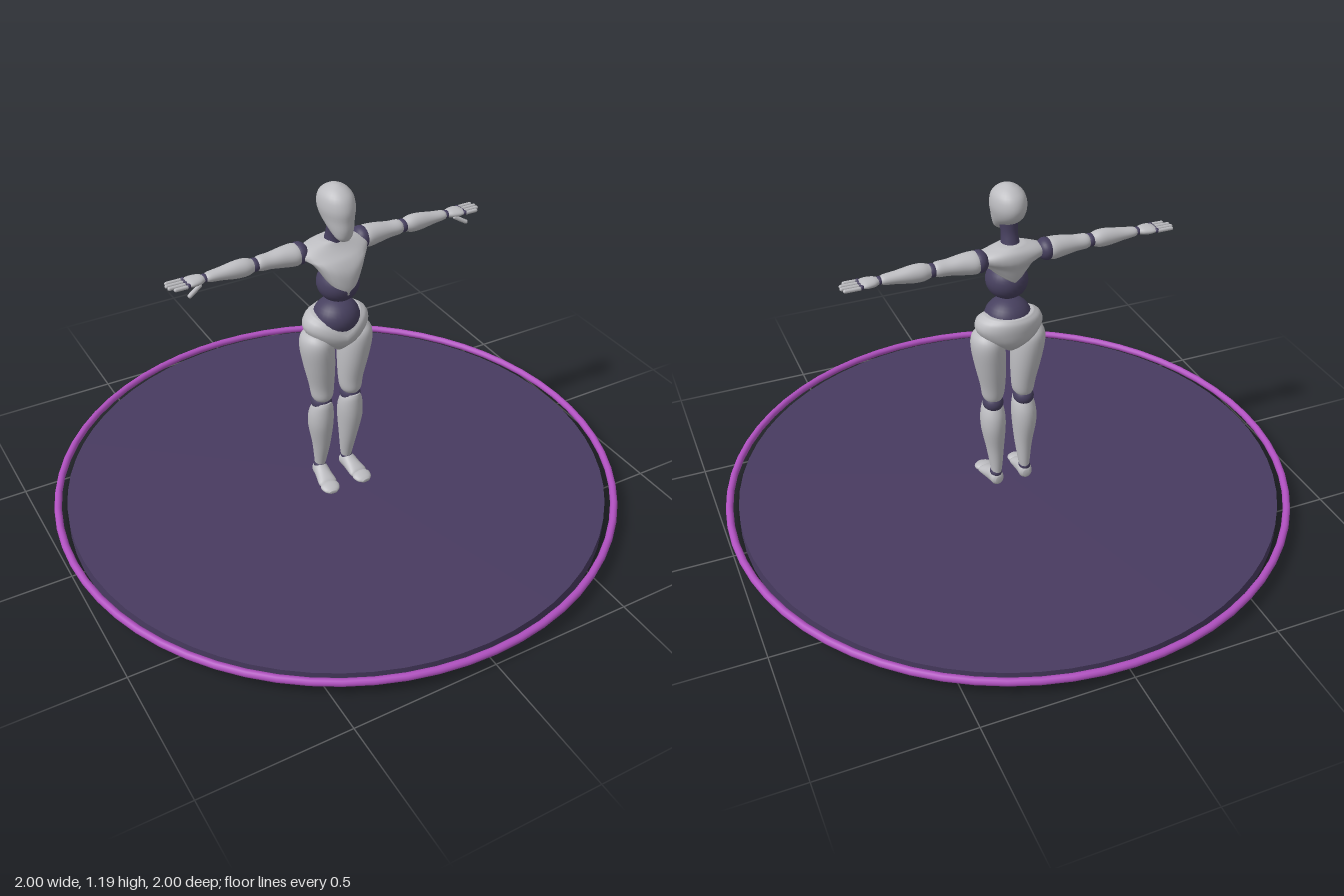
import * as THREE from 'three';

const mat = (name, color) => Object.assign(new THREE.MeshStandardMaterial({ color }), { name });

// Smooth closed body from elliptical sections [height, centreX, centreZ, radiusX, radiusZ]
function loft(sections, warp, rings = 24, sides = 28) {
  const first = sections[0], last = sections[sections.length - 1];
  const centres = new THREE.CatmullRomCurve3(sections.map(s => new THREE.Vector3(s[1], s[0], s[2])), false, 'catmullrom', 0.5);
  const radii = new THREE.CatmullRomCurve3(sections.map(s => new THREE.Vector3(s[3], s[4], 0)), false, 'catmullrom', 0.5);
  const pos = [], index = [];
  const addRing = (c, rx, rz) => {
    for (let j = 0; j < sides; j++) {
      const a = j / sides * Math.PI * 2;
      const v = new THREE.Vector3(c.x + rx * Math.cos(a), c.y, c.z + rz * Math.sin(a));
      if (warp) warp(v);
      pos.push(v.x, v.y, v.z);
    }
  };
  addRing(centres.getPoint(0), first[3] * 0.01, first[4] * 0.01);
  for (let i = 0; i <= rings; i++) {
    const r = radii.getPoint(i / rings);
    addRing(centres.getPoint(i / rings), r.x, r.y);
  }
  addRing(centres.getPoint(1), last[3] * 0.01, last[4] * 0.01);
  for (let i = 0; i < rings + 2; i++) {
    for (let j = 0; j < sides; j++) {
      const k = (j + 1) % sides, a = i * sides, b = a + sides;
      index.push(a + j, b + j, a + k, b + j, b + k, a + k);
    }
  }
  const g = new THREE.BufferGeometry();
  g.setAttribute('position', new THREE.Float32BufferAttribute(pos, 3));
  g.setIndex(index);
  g.computeVertexNormals();
  return g;
}

export function createModel() {
  const model = new THREE.Group();
  const shell = mat('light grey shell', 0xbdbdc1);
  const joint = mat('dark joint', 0x47405f);
  const floor = mat('deep violet base', 0x483b60);
  const glow = mat('purple ring', 0xb050c0);

  const add = (parent, name, geometry, material) => {
    const mesh = new THREE.Mesh(geometry, material);
    mesh.name = name;
    parent.add(mesh);
    return mesh;
  };
  const ball = (parent, name, material, x, y, z, rx, ry = rx, rz = rx) => {
    const m = add(parent, name, new THREE.SphereGeometry(1, 28, 18), material);
    m.position.set(x, y, z);
    m.scale.set(rx, ry, rz);
    return m;
  };

  // Platform and the ring around it
  add(model, 'platform', new THREE.CylinderGeometry(0.955, 0.955, 0.05, 64), floor).position.y = 0.025;
  const ring = add(model, 'platformRing', new THREE.TorusGeometry(0.987, 0.013, 12, 64), glow);
  ring.rotation.x = Math.PI / 2;
  ring.position.y = 0.047;

  // Head and neck
  add(model, 'head', loft([
    [1.022, 0, 0.055, 0.018, 0.014], [1.035, 0, 0.047, 0.03, 0.028], [1.06, 0, 0.028, 0.041, 0.052],
    [1.09, 0, 0.007, 0.05, 0.073], [1.125, 0, 0, 0.057, 0.08], [1.16, 0, -0.002, 0.052, 0.068],
    [1.182, 0, -0.002, 0.034, 0.042], [1.194, 0, -0.002, 0.01, 0.013],
  ]), shell);
  add(model, 'neck', loft([
    [0.98, 0, -0.02, 0.035, 0.035], [1.01, 0, -0.015, 0.029, 0.03], [1.04, 0, -0.008, 0.028, 0.029], [1.08, 0, 0, 0.034, 0.034],
  ]), joint);

  // Chest shell, dipping to a point in front and rising at the flanks
  add(model, 'chest', loft([
    [0.868, 0, 0.012, 0.066, 0.072], [0.89, 0, 0.009, 0.08, 0.078], [0.92, 0, 0.002, 0.096, 0.08],
    [0.945, 0, -0.012, 0.115, 0.075], [0.967, 0, -0.025, 0.124, 0.062], [0.985, 0, -0.03, 0.092, 0.05],
    [1.0, 0, -0.026, 0.04, 0.036],
  ], v => {
    const f = THREE.MathUtils.clamp((0.95 - v.y) / 0.08, 0, 1);
    v.y += f * (0.04 * Math.abs(v.x) / 0.07 - 0.035 * Math.max(0, v.z) / 0.08);
  }), shell);
  ball(model, 'waist', joint, 0, 0.85, 0.012, 0.071, 0.066, 0.074);
  ball(model, 'abdomen', joint, 0, 0.718, 0.002, 0.08, 0.067, 0.078);

  // Pelvis shell, cut low in front
  add(model, 'pelvis', loft([
    [0.598, 0, 0, 0.022, 0.035], [0.62, 0, -0.002, 0.05, 0.06], [0.65, 0, -0.005, 0.092, 0.079],
    [0.69, 0, -0.005, 0.117, 0.086], [0.722, 0, -0.005, 0.109, 0.084], [0.74, 0, -0.003, 0.084, 0.074],
  ], v => {
    const f = THREE.MathUtils.clamp((v.y - 0.62) / 0.11, 0, 1);
    v.y -= f * 0.06 * Math.max(0, v.z / 0.085) * (1 - Math.abs(v.x) / 0.13);
  }), shell);

  for (const side of [1, -1]) {
    const half = new THREE.Group();
    half.name = side > 0 ? 'leftLimbs' : 'rightLimbs';
    half.scale.x = side;
    model.add(half);

    // Arm, lofted upright and laid out sideways
    const arm = new THREE.Group();
    arm.name = 'arm';
    arm.rotation.z = -Math.PI / 2;
    arm.position.set(0, 0.961, -0.038);
    half.add(arm);
    ball(arm, 'shoulderJoint', joint, 0, 0.115, 0, 0.037, 0.03, 0.042);
    add(arm, 'upperArm', loft([
      [0.113, 0, 0, 0.03, 0.036], [0.135, 0.001, 0, 0.037, 0.042], [0.175, 0, 0, 0.034, 0.036],
      [0.22, 0, 0, 0.027, 0.03], [0.255, 0, 0, 0.025, 0.028], [0.27, 0, 0, 0.018, 0.022],
    ]), shell);
    ball(arm, 'elbowJoint', joint, 0, 0.274, 0, 0.022, 0.022, 0.026);
    add(arm, 'forearm', loft([
      [0.278, 0, 0, 0.02, 0.023], [0.305, 0, 0, 0.029, 0.03], [0.34, 0, 0, 0.029, 0.029],
      [0.39, 0, 0, 0.021, 0.024], [0.43, 0, 0, 0.016, 0.021], [0.443, 0, 0, 0.011, 0.015],
    ]), shell);
    ball(arm, 'wristJoint', joint, 0, 0.446, 0, 0.013, 0.014, 0.017);
    add(arm, 'palm', loft([
      [0.447, 0, 0, 0.01, 0.015], [0.465, 0, 0, 0.014, 0.026], [0.49, 0, 0, 0.013, 0.031], [0.508, 0, 0, 0.008, 0.028],
    ]), shell);
    [0.05, 0.064, 0.066, 0.06].forEach((length, i) => {
      const z = (1.5 - i) * 0.0155;
      ball(arm, 'knuckle', joint, 0, 0.508, z, 0.008);
      const finger = add(arm, 'finger', new THREE.CapsuleGeometry(0.0065, length - 0.013, 4, 8), shell);
      finger.position.set(0.001, 0.508 + length / 2, z * 1.1);
    });
    const thumb = add(arm, 'thumb', new THREE.CapsuleGeometry(0.0075, 0.045, 4, 8), shell);
    thumb.position.set(0.02, 0.49, 0.026);
    thumb.rotation.set(0.25, 0, -0.5);

    // Leg
    add(half, 'thigh', loft([
      [0.395, 0.057, 0, 0.026, 0.03], [0.415, 0.056, 0.002, 0.037, 0.041], [0.46, 0.057, 0, 0.043, 0.047],
      [0.54, 0.065, 0, 0.053, 0.06], [0.61, 0.073, 0, 0.057, 0.067], [0.65, 0.077, 0, 0.05, 0.062],
      [0.675, 0.08, 0, 0.03, 0.04],
    ]), shell);
    ball(half, 'kneeJoint', joint, 0.057, 0.385, -0.002, 0.036, 0.034, 0.039);
    add(half, 'shin', loft([
      [0.092, 0.054, -0.022, 0.017, 0.02], [0.13, 0.053, -0.018, 0.022, 0.026], [0.2, 0.054, -0.01, 0.031, 0.037],
      [0.28, 0.058, -0.006, 0.042, 0.049], [0.33, 0.058, -0.002, 0.043, 0.049], [0.365, 0.057, 0.004, 0.037, 0.041],
      [0.382, 0.057, 0.008, 0.028, 0.031],
    ], v => { if (v.y > 0.34) v.y += 0.3 * Math.max(0, v.z) * (v.y - 0.34) / 0.042; }), shell);
    ball(half, 'ankleJoint', joint, 0.055, 0.096, -0.02, 0.021, 0.02, 0.024);

    // Foot, lofted from heel to toe with a flat sole
    const foot = new THREE.Group();
    foot.name = 'foot';
    foot.position.set(0.057, 0.05, 0);
    foot.rotation.y = 0.1;
    half.add(foot);
    const flatSole = v => { v.z = Math.min(v.z, -0.001); };
    const footPart = (name, sections) => {
      add(foot, name, loft(sections, flatSole), shell).rotation.x = Math.PI / 2;
    };
    footPart('instep', [
      [-0.046, 0, -0.022, 0.012, 0.014], [-0.035, 0, -0.024, 0.023, 0.025], [-0.01, 0, -0.027, 0.026, 0.031],
      [0.02, 0, -0.02, 0.029, 0.025], [0.05, 0, -0.014, 0.033, 0.017], [0.062, 0, -0.011, 0.028, 0.011],
    ]);
    footPart('toes', [
      [0.056, 0, -0.011, 0.028, 0.012], [0.072, 0, -0.011, 0.034, 0.014],
      [0.092, 0, -0.008, 0.028, 0.011], [0.104, 0, -0.006, 0.014, 0.006],
    ]);
  }
  return model;
}
